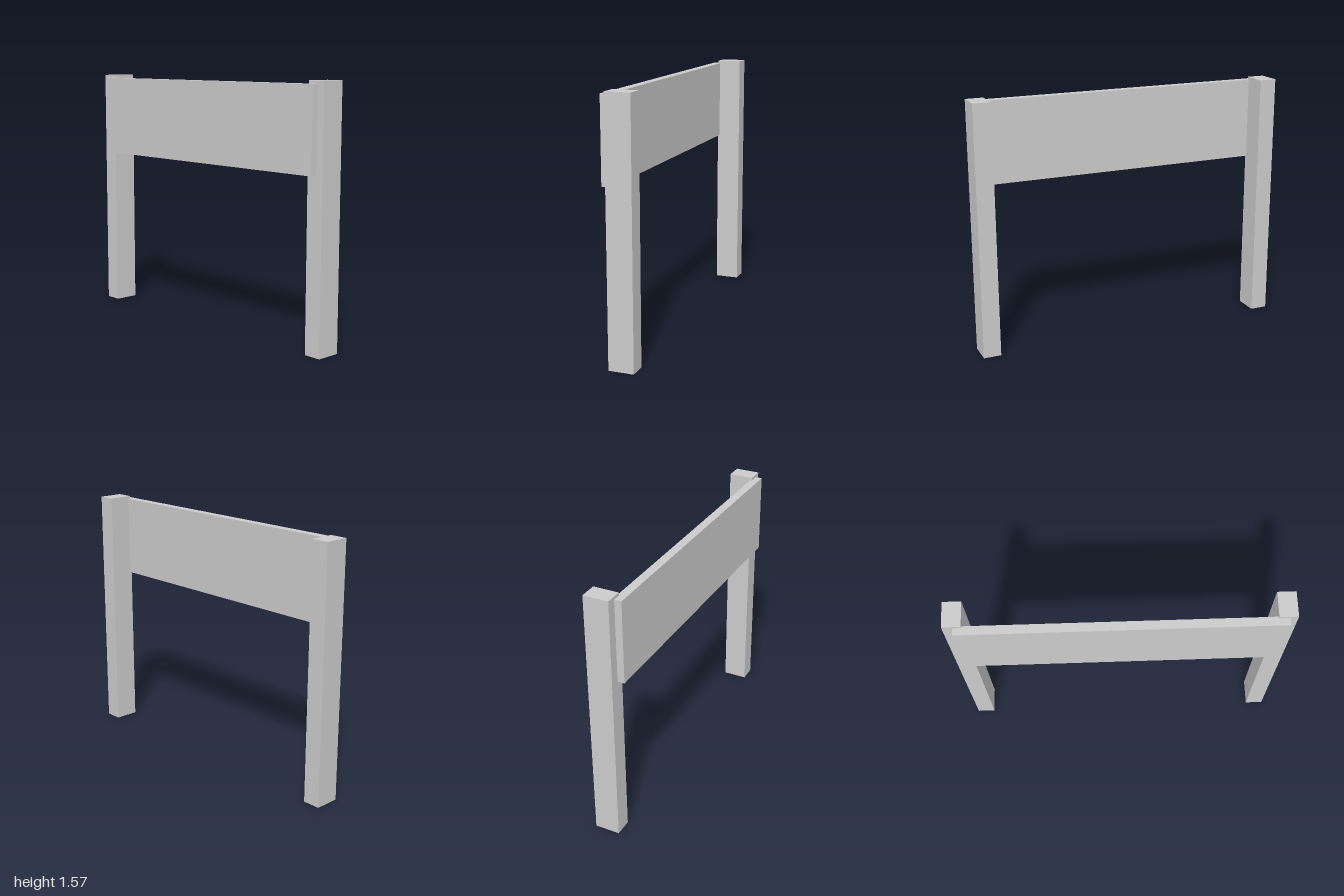
import * as THREE from 'three';

const material = new THREE.MeshStandardMaterial({ color: 0xcccccc, flatShading: true });

// Box given by its lower and upper corners
function block(name, [x0, y0, z0], [x1, y1, z1]) {
  const mesh = new THREE.Mesh(new THREE.BoxGeometry(x1 - x0, y1 - y0, z1 - z0), material);
  mesh.position.set((x0 + x1) / 2, (y0 + y1) / 2, (z0 + z1) / 2);
  mesh.name = name;
  return mesh;
}

export function createModel() {
  const group = new THREE.Group();
  group.name = 'signFrame';

  // Two upright posts
  group.add(block('leftPost', [0.89, 0, -0.099], [1, 1.574, 0.056]));
  group.add(block('rightPost', [-1, 0, -0.099], [-0.89, 1.574, 0.056]));

  // Wide board, let slightly into the front of the posts and a little off centre
  group.add(block('board', [-0.94, 1.047, 0.045], [0.957, 1.556, 0.099]));

  return group;
}
